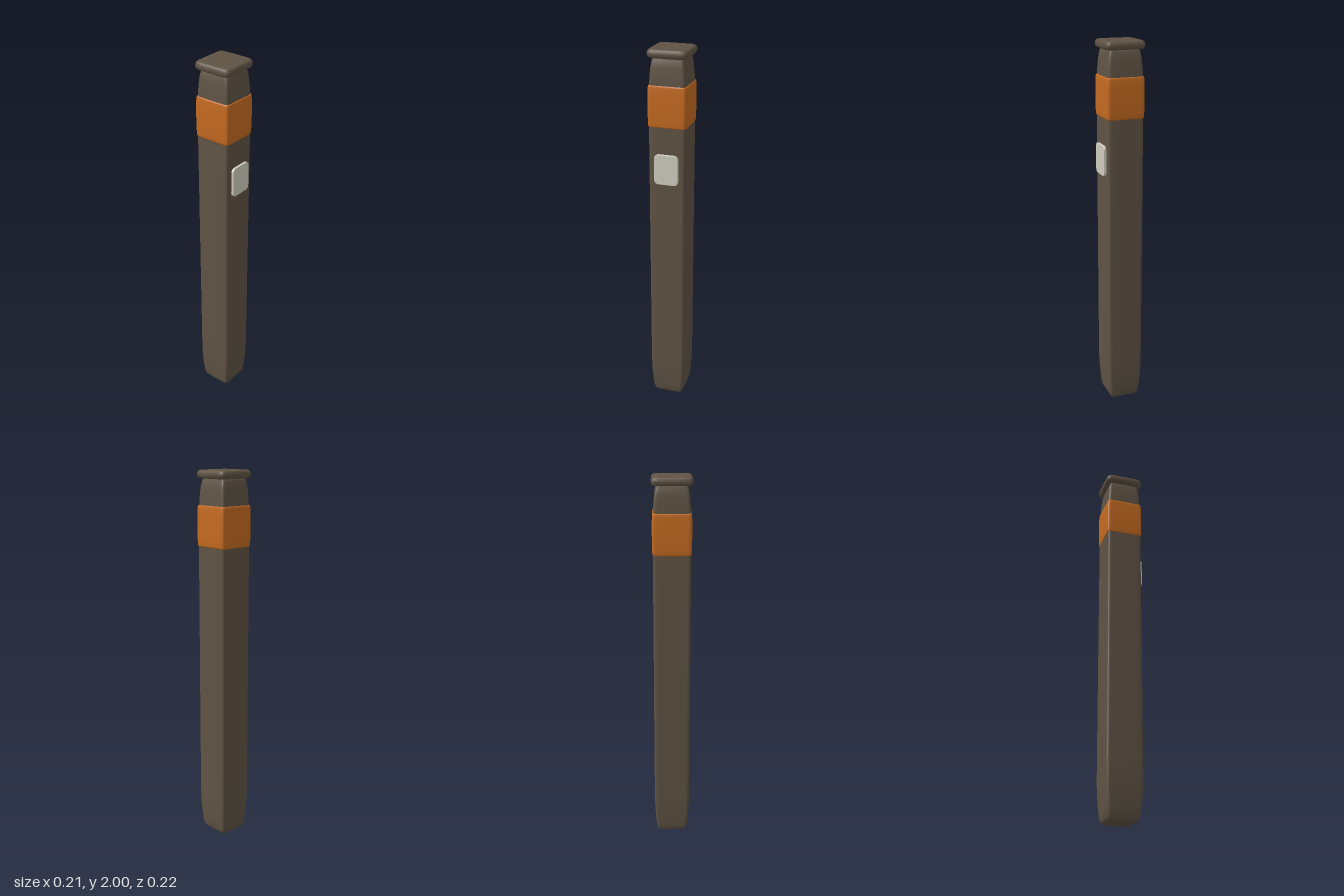
import * as THREE from 'three';

const mat = (name, color) => {
  const m = new THREE.MeshStandardMaterial({ color });
  m.name = name;
  return m;
};

// Closed smooth loft of rounded-square rings; profile rows are [halfWidth, y] from bottom to top.
function squareLoft(profile, power, segments = 56) {
  const pos = [], index = [];
  const soft = (v) => Math.sign(v) * Math.pow(Math.abs(v), 2 / power);
  for (const [half, y] of profile) {
    for (let i = 0; i < segments; i++) {
      const a = (i / segments) * Math.PI * 2;
      pos.push(half * soft(Math.cos(a)), y, half * soft(Math.sin(a)));
    }
  }
  for (let r = 0; r < profile.length - 1; r++) {
    for (let i = 0; i < segments; i++) {
      const a = r * segments + i, b = r * segments + (i + 1) % segments;
      index.push(a, a + segments, b, b, a + segments, b + segments);
    }
  }
  // End centres
  const last = (profile.length - 1) * segments, bottom = profile.length * segments;
  pos.push(0, profile[0][1], 0, 0, profile[profile.length - 1][1], 0);
  for (let i = 0; i < segments; i++) {
    const j = (i + 1) % segments;
    index.push(bottom, i, j, bottom + 1, last + j, last + i);
  }
  const g = new THREE.BufferGeometry();
  g.setAttribute('position', new THREE.Float32BufferAttribute(pos, 3));
  g.setIndex(index);
  g.computeVertexNormals();
  return g;
}

function roundedRect(w, h, r) {
  const s = new THREE.Shape();
  const corners = [[1, -1, -0.5], [1, 1, 0], [-1, 1, 0.5], [-1, -1, 1]];
  for (const [sx, sy, start] of corners) {
    s.absarc(sx * (w / 2 - r), sy * (h / 2 - r), r, start * Math.PI, (start + 0.5) * Math.PI, false);
  }
  s.closePath();
  return s;
}

export function createModel() {
  const group = new THREE.Group();
  const brown = mat('dark brown', 0x5f5344);
  const orange = mat('orange', 0xc46a20);
  const pale = mat('pale grey', 0xcfcdbf);
  const centreZ = -0.003;

  const add = (name, geometry, material) => {
    const mesh = new THREE.Mesh(geometry, material);
    mesh.name = name;
    mesh.position.z = centreZ;
    group.add(mesh);
    return mesh;
  };

  // Long square shaft, softened at the foot and narrowing at the neck
  add('shaft', squareLoft([
    [0.03, 0], [0.062, 0.004], [0.074, 0.01], [0.081, 0.022], [0.086, 0.045], [0.09, 0.085],
    [0.094, 0.14], [0.0965, 0.21], [0.097, 0.3], [0.097, 1.74], [0.0955, 1.81],
    [0.093, 1.86], [0.089, 1.91], [0.083, 1.945], [0.073, 1.965],
  ], 13), brown);

  // Coloured collar
  add('collar', squareLoft([
    [0.09, 1.61], [0.097, 1.612], [0.0995, 1.619], [0.101, 1.65], [0.1015, 1.718],
    [0.101, 1.785], [0.0995, 1.816], [0.097, 1.823], [0.09, 1.825],
  ], 15), orange);

  // Flared top cap with a rounded rim
  add('topCap', squareLoft([
    [0.075, 1.956], [0.093, 1.957], [0.1, 1.961], [0.104, 1.968], [0.1055, 1.978],
    [0.104, 1.988], [0.1, 1.995], [0.093, 1.999], [0.075, 2],
  ], 8), brown);

  // Raised front plate
  const plate = new THREE.ExtrudeGeometry(roundedRect(0.122, 0.156, 0.02), {
    depth: 0.012, bevelEnabled: true, bevelSize: 0.002, bevelThickness: 0.002, bevelSegments: 2, curveSegments: 6,
  });
  add('frontPlate', plate, pale).position.set(0, 1.394, 0.093);

  return group;
}
